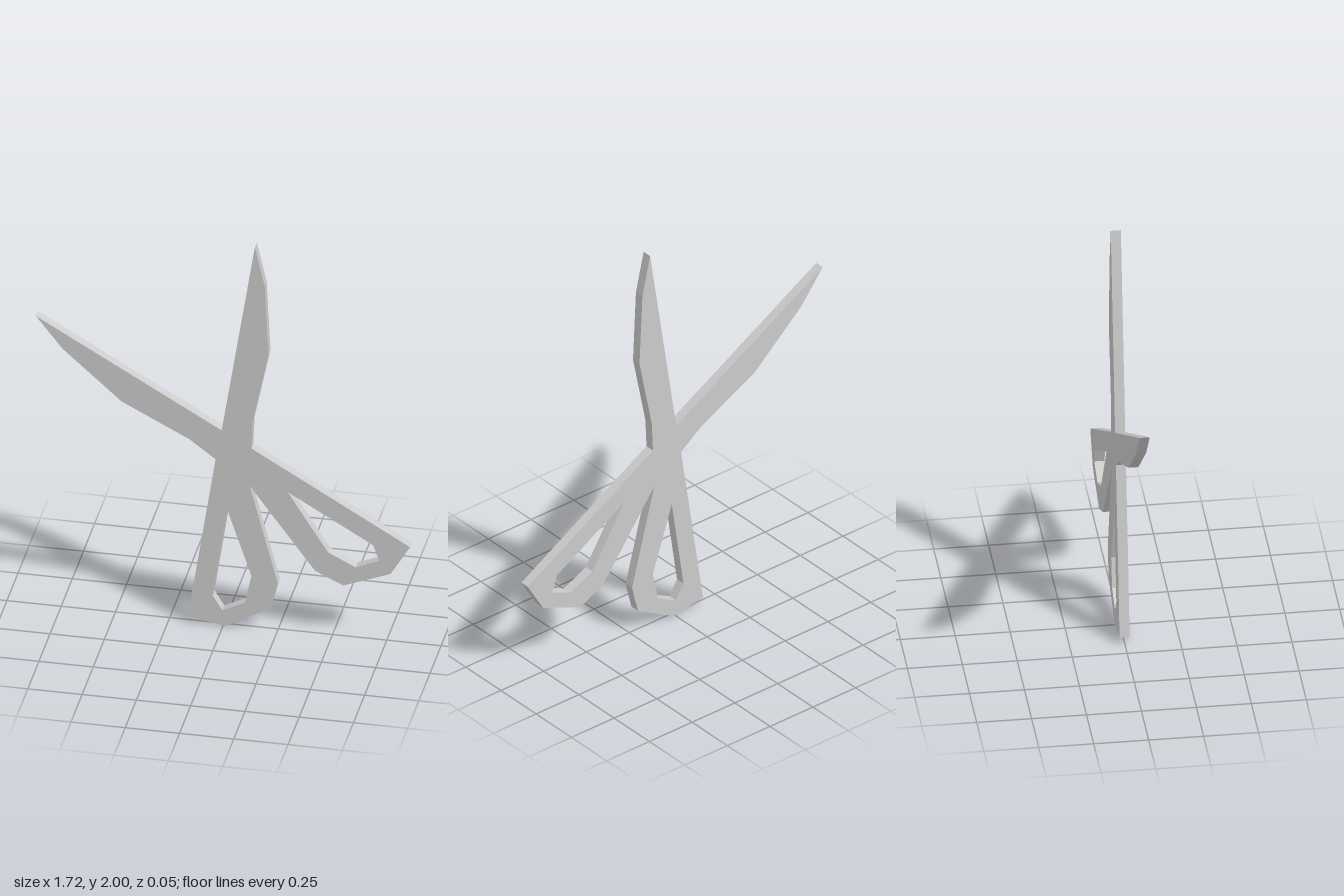
import * as THREE from 'three';

const DEPTH = 0.046;
const points = (list) => list.map(([x, y]) => new THREE.Vector2(x, y));

// Silhouette of the open scissors, counter-clockwise from the upright blade's tip
const outline = [
  // crotch between the blades, then the slanted blade
  [0.147, 2], [-0.006, 1.022], [-0.862, 1.52], [-0.738, 1.362], [-0.468, 1.12], [-0.155, 0.958],
  // lower handle
  [-0.034, 0.868], [-0.162, 0.03], [0.01, 0], [0.218, 0.115], [0.252, 0.254],
  // side handle
  [0.123, 0.747], [0.424, 0.338], [0.554, 0.276], [0.772, 0.362], [0.862, 0.513],
  // upright blade, outer edge
  [0.13, 0.944], [0.137, 1.09], [0.209, 1.443], [0.192, 1.8],
];

// Finger holes
const sideHole = [[0.298, 0.735], [0.691, 0.504], [0.72, 0.425], [0.612, 0.378], [0.485, 0.44]];
const lowerHole = [[0.02, 0.608], [0.131, 0.277], [0.1, 0.133], [-0.003, 0.08], [-0.048, 0.154]];

export function createModel() {
  const group = new THREE.Group();
  group.name = 'scissors';

  const shape = new THREE.Shape(points(outline));
  for (const hole of [sideHole, lowerHole]) shape.holes.push(new THREE.Path(points(hole)));

  // Flat plate, centred on z = 0
  const geometry = new THREE.ExtrudeGeometry(shape, { depth: DEPTH, bevelEnabled: false });
  geometry.translate(0, 0, -DEPTH / 2);

  const material = new THREE.MeshStandardMaterial({ color: 0xcccccc, flatShading: true });
  const plate = new THREE.Mesh(geometry, material);
  plate.name = 'bladesAndHandles';
  group.add(plate);
  return group;
}
